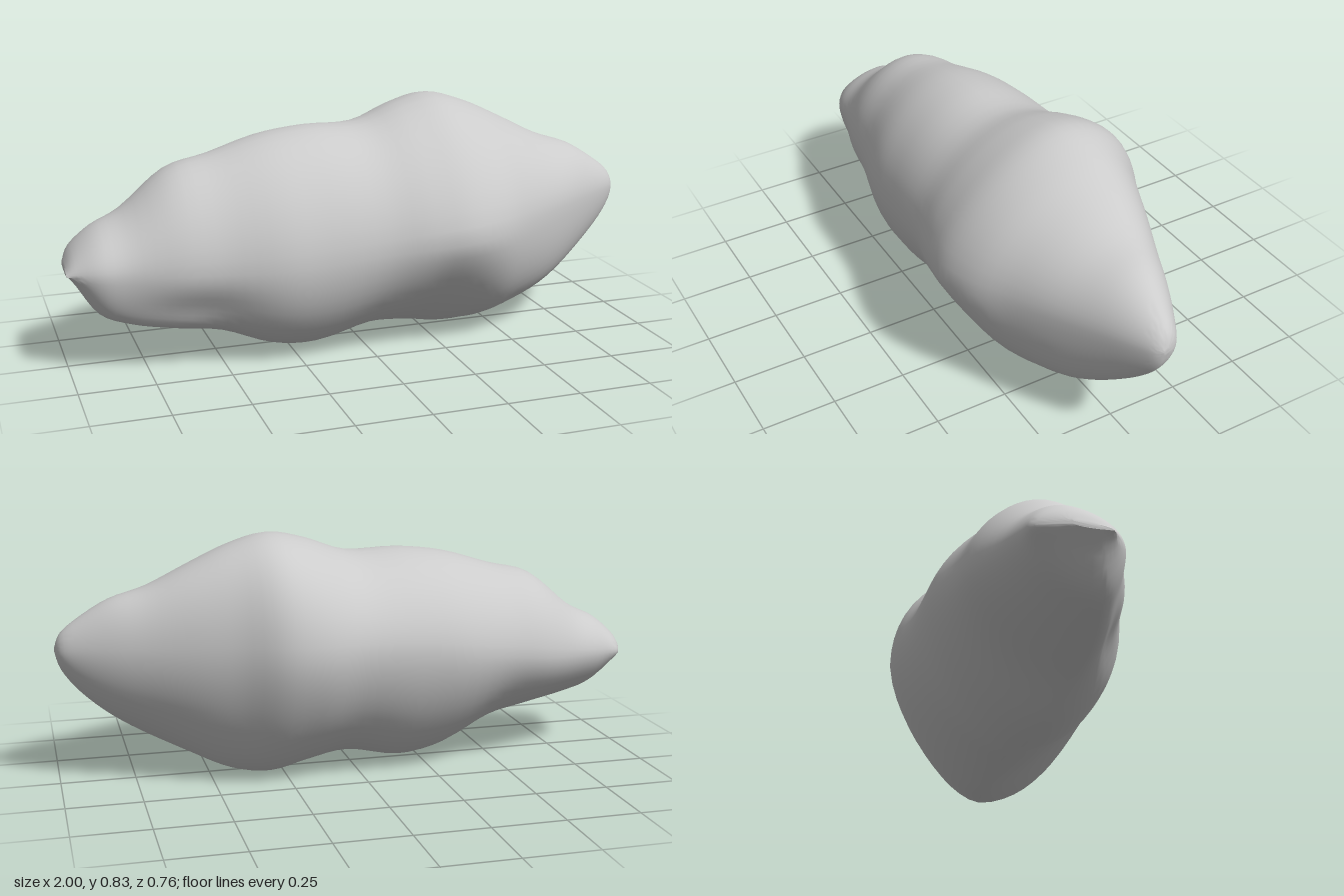
import * as THREE from 'three';
import { toCreasedNormals } from 'three/addons/utils/BufferGeometryUtils.js';

const { smoothstep } = THREE.MathUtils;
const bell = (x, centre, width) => Math.exp(-(((x - centre) / width) ** 2));

// Outline along the body: x, top, bottom, zBack, zFront
const OUTLINE = [
  [-1.0, 0.37, 0.35, 0.0, 0.12],
  [-0.97, 0.42, 0.31, -0.1, 0.14],
  [-0.9, 0.48, 0.21, -0.13, 0.18],
  [-0.8, 0.53, 0.17, -0.17, 0.2],
  [-0.65, 0.65, 0.14, -0.235, 0.245],
  [-0.5, 0.69, 0.11, -0.265, 0.27],
  [-0.33, 0.74, 0.035, -0.31, 0.31],
  [-0.17, 0.76, 0.012, -0.325, 0.315],
  [0.02, 0.76, 0.05, -0.34, 0.325],
  [0.17, 0.81, 0.03, -0.375, 0.36],
  [0.3, 0.835, 0.003, -0.37, 0.378],
  [0.43, 0.8, 0.02, -0.305, 0.345],
  [0.56, 0.74, 0.075, -0.25, 0.27],
  [0.7, 0.67, 0.145, -0.19, 0.195],
  [0.82, 0.63, 0.225, -0.14, 0.13],
  [0.92, 0.57, 0.315, -0.09, 0.075],
  [0.98, 0.52, 0.395, -0.05, 0.035],
  [1.0, 0.47, 0.46, -0.005, 0.005],
];

// Smooth interpolation between neighbouring outline rows
function outlineAt(t) {
  const last = OUTLINE.length - 1;
  const i = Math.min(Math.floor(t), last - 1);
  const f = t - i;
  const row = (k) => OUTLINE[Math.max(0, Math.min(last, k))];
  return OUTLINE[0].map((_, c) => {
    const [p0, p1, p2, p3] = [row(i - 1)[c], row(i)[c], row(i + 1)[c], row(i + 2)[c]];
    const m1 = (p2 - p0) / 2;
    const m2 = (p3 - p1) / 2;
    return p1 + f * (m1 + f * (3 * (p2 - p1) - 2 * m1 - m2 + f * (2 * (p1 - p2) + m1 + m2)));
  });
}

// Cross-section of four rounded quarters; their meeting points and roundness drift along x
function sectionPoint([x, top, bottom, zBack, zFront], angle) {
  const c = Math.cos(angle);
  const d = Math.sin(angle);
  const front = c >= 0;
  const upper = d >= 0;
  const bulge = bell(x, 0.27, 0.2);
  const shoulder = bell(x, 0.65, 0.25);
  let n;
  if (upper) n = front ? 1.82 - 0.22 * bulge : 1.85 + 0.2 * bulge + 0.4 * shoulder;
  else if (front) n = 1.9 - 0.55 * bulge + 0.2 * shoulder - 0.3 * bell(x, -0.95, 0.15);
  else n = 1.7 - 0.15 * bulge;
  const r = Math.pow(Math.abs(c) ** n + Math.abs(d) ** n, -1 / n);

  // Crest leans back near the bulge, keel swings forward towards both ends
  const zPole = upper
    ? -0.065 * bell(x, 0.45, 0.4)
    : 0.13 * bell(x, -0.72, 0.4) - 0.035 * bell(x, 0.3, 0.2) + 0.04 * bell(x, 0.68, 0.15);
  const ySide = front
    ? 0.35 + 0.115 * smoothstep(x, -0.5, 1.1)
    : 0.36 + 0.1 * smoothstep(x, -1.05, 0.1);

  const y = ySide + ((upper ? top : bottom) - ySide) * Math.abs(d) * r;
  const z = zPole + ((front ? zFront : zBack) - zPole) * Math.abs(c) * r;
  // Hollow above the low front lip near the blunt end
  const dent = z > 0.1 ? 0.025 * bell(x, -0.6, 0.16) * bell(y, 0.22, 0.07) : 0;
  return [x, y, z - dent];
}

function bodyGeometry(around = 48, perRow = 4) {
  const positions = [];
  const index = [];
  const rings = (OUTLINE.length - 1) * perRow;
  for (let i = 0; i <= rings; i++) {
    const section = outlineAt(i / perRow);
    for (let j = 0; j < around; j++) {
      positions.push(...sectionPoint(section, (j / around) * Math.PI * 2));
    }
  }
  for (let i = 0; i < rings; i++) {
    for (let j = 0; j < around; j++) {
      const a = i * around + j;
      const b = i * around + ((j + 1) % around);
      index.push(a, a + around, b, b, a + around, b + around);
    }
  }
  // End caps
  const end = rings * around;
  for (let j = 1; j < around - 1; j++) {
    index.push(0, j, j + 1, end, end + j + 1, end + j);
  }
  const geometry = new THREE.BufferGeometry();
  geometry.setAttribute('position', new THREE.Float32BufferAttribute(positions, 3));
  geometry.setIndex(index);
  return toCreasedNormals(geometry, 0.6);
}

export function createModel() {
  const group = new THREE.Group();
  group.name = 'asteroid';
  const body = new THREE.Mesh(bodyGeometry(), new THREE.MeshStandardMaterial({ color: 0xcccccc }));
  body.name = 'rockBody';
  group.add(body);
  return group;
}
